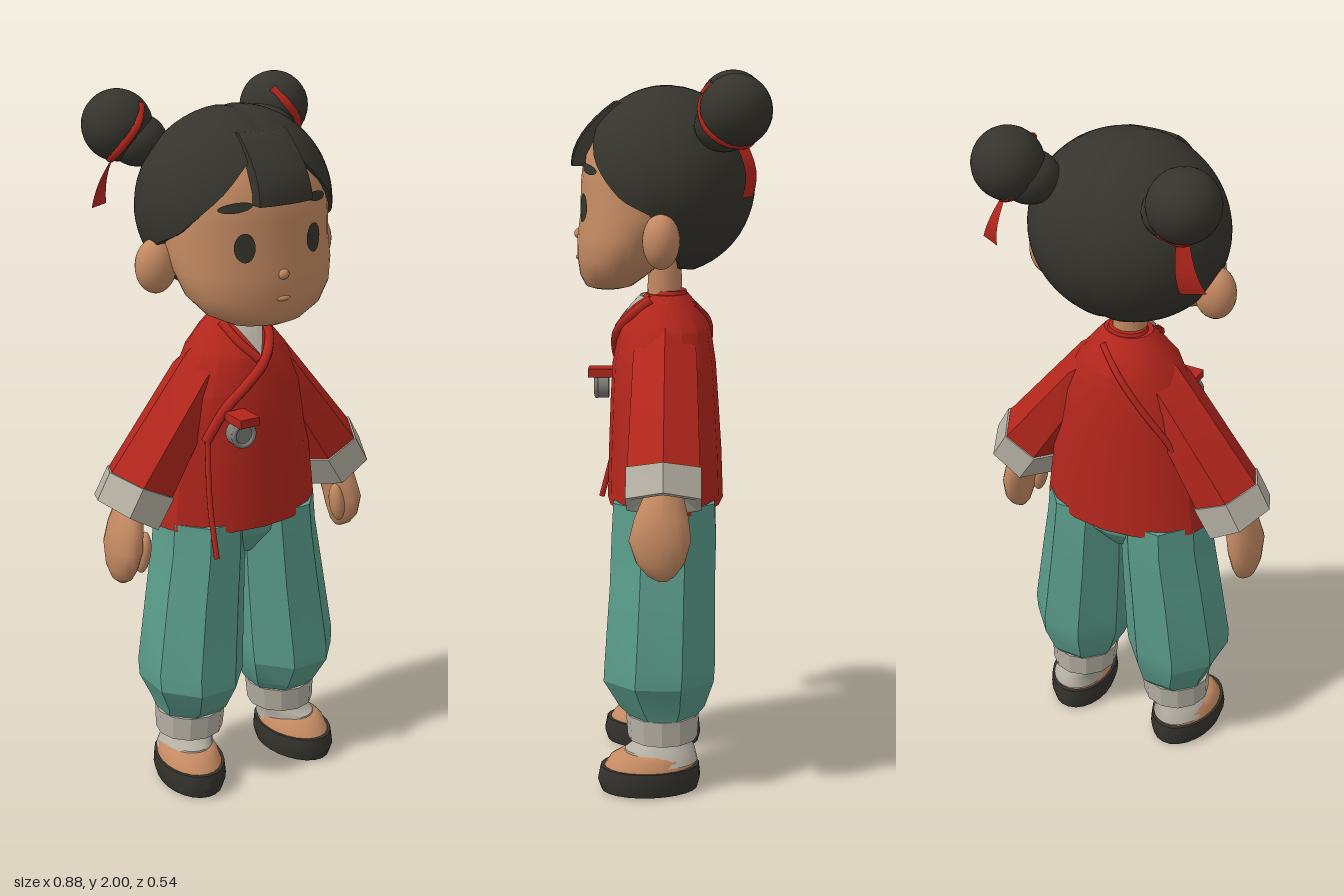
import * as THREE from 'three';
import { toCreasedNormals } from 'three/addons/utils/BufferGeometryUtils.js';
import { ParametricGeometry } from 'three/addons/geometries/ParametricGeometry.js';

const mat = (name, color, side = THREE.FrontSide) => {
  const m = new THREE.MeshStandardMaterial({ color, side });
  m.name = name;
  return m;
};
const V = (x, y, z) => new THREE.Vector3(x, y, z);
const lerp = THREE.MathUtils.lerp;

export function createModel() {
  const root = new THREE.Group();
  root.name = 'child';
  const skin = mat('skin', 0xc48a62);
  const dark = mat('hairBlack', 0x35342d);
  const red = mat('jacketRed', 0xb3261c, THREE.DoubleSide);
  const teal = mat('trouserTeal', 0x5a9c8b);
  const cloth = mat('clothGrey', 0xb5b0a3, THREE.DoubleSide);
  const metal = mat('pendantGrey', 0x7f7d77);

  const add = (name, geo, m, pos, parent = root) => {
    const mesh = new THREE.Mesh(geo, m);
    mesh.name = name;
    if (pos) mesh.position.set(...pos);
    parent.add(mesh);
    return mesh;
  };
  const surf = (fn, nu, nv, crease = 0.9) =>
    toCreasedNormals(new ParametricGeometry((u, v, t) => t.copy(fn(u, v)), nu, nv), crease);
  const ball = (name, m, pos, scale, parent) => {
    const b = add(name, new THREE.SphereGeometry(1, 24, 16), m, pos, parent);
    b.scale.set(...scale);
    return b;
  };
  const tube = (pts, r, n = 24) =>
    new THREE.TubeGeometry(new THREE.CatmullRomCurve3(pts), n, r, 8);

  // Rows are [y, centre x, half width, front z, back z], bottom to top
  const rowAt = (rows, f) => {
    const i = Math.min(Math.floor(f), rows.length - 2);
    return rows[i].map((a, k) => lerp(a, rows[i + 1][k], f - i));
  };
  const cap = (rows) => {
    const end = (r) => [r[0], r[1], 0, (r[3] + r[4]) / 2, (r[3] + r[4]) / 2];
    return [end(rows[0]), ...rows, end(rows[rows.length - 1])];
  };
  const loft = (rows, sides, crease, turn = 0, s = 1) => {
    const all = cap(rows), k = 1 / Math.cos(turn);
    return surf((u, v) => {
      const [y, cx, rx, zf, zb] = rowAt(all, v * (all.length - 1));
      const a = u * Math.PI * 2 + turn;
      return V(s * cx + rx * k * Math.sin(a), y, (zf + zb) / 2 + ((zf - zb) / 2) * k * Math.cos(a));
    }, sides, all.length - 1, crease);
  };
  // Front (dir 1) or back (dir -1) depth of a lofted form at x, y
  const depth = (rows, x, y, dir = 1) => {
    let i = 0;
    while (i < rows.length - 2 && rows[i + 1][0] < y) i++;
    const f = THREE.MathUtils.clamp((y - rows[i][0]) / (rows[i + 1][0] - rows[i][0]), 0, 1);
    const [, cx, rx, zf, zb] = rowAt(rows, i + f);
    const t = Math.min(Math.abs(x - cx) / rx, 0.97);
    return (zf + zb) / 2 + dir * ((zf - zb) / 2) * Math.sqrt(1 - t * t);
  };

  // Head
  const face = [
    [1.41, 0, 0.05, 0.215, 0.13], [1.42, 0, 0.11, 0.236, 0.1], [1.45, 0, 0.172, 0.25, 0.06],
    [1.5, 0, 0.215, 0.257, 0], [1.56, 0, 0.232, 0.256, -0.05], [1.62, 0, 0.237, 0.248, -0.1],
    [1.7, 0, 0.238, 0.246, -0.11], [1.78, 0, 0.222, 0.238, -0.1], [1.86, 0, 0.18, 0.195, -0.08],
    [1.92, 0, 0.09, 0.12, -0.05]];
  add('head', loft(face, 40, 1.2), skin);
  add('neck', new THREE.CylinderGeometry(0.045, 0.05, 0.16, 16), skin, [0, 1.43, 0.015]);
  ball('nose', skin, [0, 1.56, 0.254], [0.016, 0.014, 0.012]);
  ball('mouth', skin, [0, 1.495, 0.252], [0.022, 0.008, 0.01]);

  // Hair cap with a hairline given as [degrees from the front, y]
  const hairline = [[0, 1.87], [21, 1.85], [37, 1.77], [62, 1.67], [82, 1.63], [95, 1.53], [110, 1.475], [180, 1.46]];
  const lineY = (deg) => {
    let i = 0;
    while (i < hairline.length - 2 && hairline[i + 1][0] < deg) i++;
    const [a, b] = [hairline[i], hairline[i + 1]];
    return lerp(a[1], b[1], (deg - a[0]) / (b[0] - a[0]));
  };
  const hairRows = 26;
  add('hair', surf((u, v) => {
    const a = Math.PI - u * Math.PI * 2;
    const h = lineY(Math.abs(a) * 180 / Math.PI) - 1.7;
    const last = v > 0.999;
    const T = Math.min(1, v * hairRows / (hairRows - 1)) * Math.acos(h / (h > 0 ? 0.265 : 0.25));
    const c = Math.cos(T), x = 0.275 * Math.sin(T) * Math.sin(a);
    const k = (last ? 0.82 : 1) * (1 - 0.02 * Math.exp(-((x / 0.018) ** 2)));
    return V(x * (last ? 0.82 : 1), 1.7 + (last ? h : (c > 0 ? 0.265 : 0.25) * c * k), 0.01 + 0.245 * Math.sin(T) * Math.cos(a) * k);
  }, 72, hairRows, 0.8), dark);

  // Fringe bent over the brow
  const fringe = new THREE.BoxGeometry(0.155, 0.17, 0.045, 6, 8, 1);
  const p = fringe.attributes.position;
  for (let i = 0; i < p.count; i++) {
    const x = p.getX(i), t = (p.getY(i) + 0.085) / 0.17;
    p.setXYZ(i, x * (1.06 - 0.12 * t), 1.75 + 0.17 * t, p.getZ(i) + 0.25 - 0.117 * t * t - 1.5 * x * x);
  }
  add('fringe', toCreasedNormals(fringe, 0.7), dark);

  // Jacket body
  const coat = [
    [0.81, 0, 0.252, 0.178, -0.15], [0.95, 0, 0.235, 0.174, -0.145], [1.1, 0, 0.214, 0.168, -0.135],
    [1.2, 0, 0.195, 0.162, -0.128], [1.3, 0, 0.148, 0.142, -0.113], [1.36, 0, 0.1, 0.1, -0.08],
    [1.395, 0, 0.07, 0.068, -0.05]];
  add('jacket', loft(coat, 16, 0.45), red);
  add('collar', loft([[1.35, 0, 0.075, 0.075, -0.058], [1.405, 0, 0.054, 0.05, -0.045]], 20, 0.8), red);
  add('undershirt', surf((u, v) => {
    const y = 1.305 + 0.085 * v, x = (u - 0.5) * 0.1 * v;
    return V(x, y, depth(coat, x, y) + 0.012);
  }, 8, 6), cloth);
  const trim = (name, pts, r, dir = 1) =>
    add(name, tube(pts.map(([x, y]) => V(x, y, depth(coat, x, y, dir) + 0.003 * dir)), r, 40), red);
  trim('lapelOver', [[0.065, 1.385], [0.055, 1.34], [0.01, 1.285], [-0.05, 1.23], [-0.11, 1.17], [-0.16, 1.08]], 0.014);
  trim('lapelUnder', [[-0.065, 1.385], [-0.045, 1.34], [-0.005, 1.295]], 0.012);
  trim('backSeam', [[0.04, 1.37], [-0.03, 1.31], [-0.1, 1.22], [-0.16, 1.13], [-0.19, 1.07]], 0.009, -1);
  add('hangingTie', tube([V(-0.16, 1.08, 0.13), V(-0.175, 0.92, 0.165), V(-0.178, 0.765, 0.205)], 0.008), red);
  add('knot', new THREE.BoxGeometry(0.06, 0.024, 0.08), red, [-0.09, 1.155, 0.195]);
  add('pendant', new THREE.CylinderGeometry(0.037, 0.037, 0.035, 20), metal, [-0.095, 1.115, 0.195]).rotation.x = Math.PI / 2;
  add('pendantRim', new THREE.TorusGeometry(0.032, 0.007, 8, 24), metal, [-0.095, 1.115, 0.212]);

  // Hips join the two trouser legs
  add('hips', loft([[0.7, 0, 0.08, 0.09, -0.06], [0.77, 0, 0.19, 0.14, -0.115], [0.83, 0, 0.22, 0.15, -0.125]], 12, 0.3), teal);

  for (const s of [1, -1]) {
    const side = new THREE.Group();
    side.name = s > 0 ? 'leftSide' : 'rightSide';
    root.add(side);

    // Ear, eye and brow
    ball('ear', skin, [s * 0.25, 1.565, 0.02], [0.058, 0.075, 0.05], side);
    const plate = (name, cx, cy, w, h, tilt) => {
      const g = new THREE.CircleGeometry(1, 20);
      g.scale(w, h, 1).rotateZ(tilt).translate(cx, cy, 0);
      const q = g.attributes.position;
      for (let i = 0; i < q.count; i++) q.setZ(i, depth(face, q.getX(i), q.getY(i)) + 0.005);
      g.computeVertexNormals();
      add(name, g, dark, null, side);
    };
    plate('eye', s * 0.107, 1.64, 0.027, 0.039, 0);
    plate('brow', s * 0.125, 1.745, 0.042, 0.013, -s * 0.15);

    // Hair bun with ribbon band and tail
    const c = V(s * 0.25, 1.905, -0.175);
    ball('bun', dark, c.toArray(), [0.096, 0.096, 0.096], side);
    ball('bunBase', dark, [s * 0.205, 1.865, -0.145], [0.08, 0.07, 0.08], side);
    const band = [[0.2, 1.975, -0.11], [0.235, 1.925, -0.08], [0.28, 1.865, -0.085], [0.29, 1.825, -0.13], [0.26, 1.81, -0.2], [0.2, 1.83, -0.24]]
      .map(([x, y, z]) => V(s * x, y, z).sub(c).setLength(0.09).add(c));
    add('ribbonBand', tube(band, 0.013), red, null, side);
    add('ribbonTail', surf((u, v) =>
      V(s * (0.255 + 0.04 * v + (u - 0.5) * (0.02 + 0.04 * v)), 1.82 - 0.135 * v, -0.19 - 0.025 * Math.sin(v * 2.5) + (u - 0.5) * 0.03),
    2, 6), red, null, side);

    // Six-sided sleeve: rows are [outer x, outer y, inner x, inner y, half depth]
    const arm = (rows) => surf((u, v) => {
      const [ox, oy, ix, iy, hz] = rowAt(rows, v * (rows.length - 1));
      const a = s * u * Math.PI * 2, k = Math.cos(a);
      return V(s * ((ox + ix) / 2 + (ox - ix) / 2 * k), (oy + iy) / 2 + (oy - iy) / 2 * k, 0.012 + hz * Math.sin(a));
    }, 6, rows.length - 1, 0.3);
    add('sleeve', arm([[0.06, 1.375, 0.06, 1.15, 0.075], [0.15, 1.305, 0.13, 1.08, 0.1], [0.395, 1.0, 0.215, 0.91, 0.112]]), red, null, side);
    add('sleeveCuff', arm([[0.39, 1.0, 0.22, 0.91, 0.11], [0.4, 1.003, 0.21, 0.905, 0.116], [0.44, 0.93, 0.265, 0.82, 0.116],
      [0.425, 0.92, 0.28, 0.83, 0.1], [0.33, 0.93, 0.33, 0.93, 0]]), cloth, null, side);

    // Mitten hand
    add('hand', loft([[0.67, 0.37, 0.012, 0.03, 0], [0.685, 0.373, 0.026, 0.055, -0.02], [0.72, 0.375, 0.035, 0.085, -0.045],
      [0.78, 0.37, 0.042, 0.105, -0.062], [0.84, 0.358, 0.04, 0.09, -0.055], [0.94, 0.33, 0.03, 0.045, -0.03]], 20, 1.2, 0, s), skin, null, side);
    ball('thumb', skin, [s * 0.328, 0.765, 0.06], [0.021, 0.06, 0.026], side).rotation.z = s * 0.15;

    // Trouser leg, gathered above a turned cuff
    add('trouserLeg', loft([[0.215, 0.157, 0.09, 0.105, -0.07], [0.25, 0.152, 0.105, 0.14, -0.1], [0.33, 0.158, 0.136, 0.183, -0.125],
      [0.38, 0.157, 0.139, 0.18, -0.128], [0.6, 0.135, 0.128, 0.165, -0.127], [0.74, 0.121, 0.119, 0.16, -0.13],
      [0.83, 0.115, 0.118, 0.155, -0.125]], 8, 0.25, Math.PI / 8, s), teal, null, side);
    add('trouserCuff', loft([[0.15, 0.16, 0.098, 0.118, -0.08], [0.222, 0.157, 0.102, 0.123, -0.084]], 12, 0.4, 0, s), cloth, null, side);

    // Shoe
    const shoe = new THREE.Group();
    shoe.name = 'shoe';
    shoe.position.set(s * 0.183, 0, 0.055);
    shoe.rotation.y = s * 0.12;
    side.add(shoe);
    add('solePad', loft([[0, 0, 0.07, 0.115, -0.115], [0.008, 0, 0.07, 0.115, -0.115]], 24, 0.6), metal, null, shoe);
    add('sole', loft([[0.004, 0, 0.088, 0.138, -0.136], [0.035, 0, 0.097, 0.148, -0.144], [0.075, 0, 0.094, 0.14, -0.14]], 24, 0.6), dark, null, shoe);
    add('foot', loft([[0.07, 0, 0.088, 0.132, -0.13], [0.1, 0, 0.08, 0.112, -0.124], [0.115, 0, 0.066, 0.085, -0.115]], 24, 0.8), skin, null, shoe);
    add('sock', loft([[0.085, 0, 0.08, 0.075, -0.136], [0.12, -0.005, 0.07, 0.07, -0.128], [0.135, -0.02, 0.065, 0.04, -0.12],
      [0.17, -0.03, 0.064, 0.025, -0.115]], 24, 0.8, 0, s), cloth, null, shoe);
  }
  return root;
}
